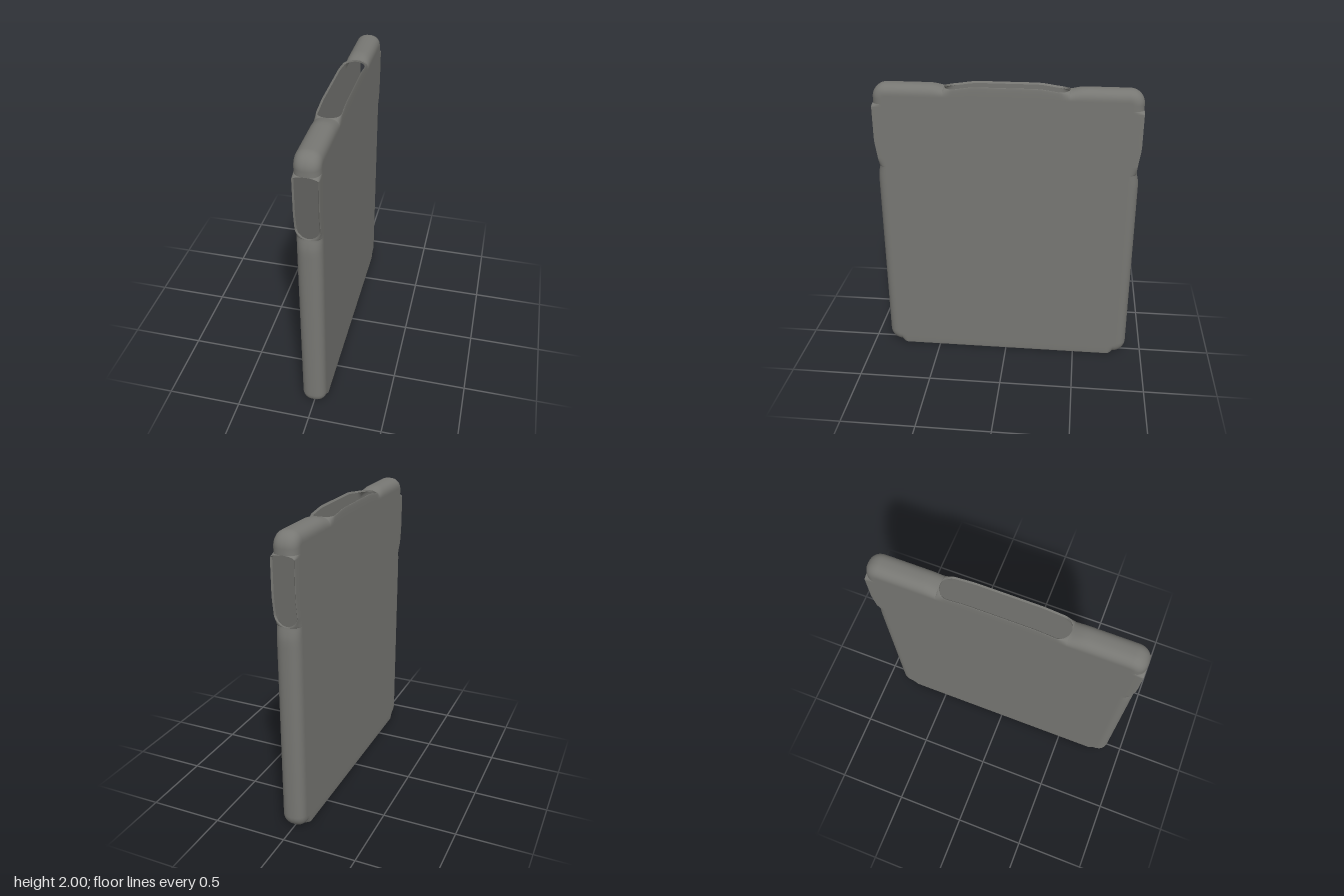
import * as THREE from 'three';
import { mergeVertices } from 'three/addons/utils/BufferGeometryUtils.js';

const W = 0.081;        // half thickness of the sleeve
const WALL = 0.012;     // wall thickness
const DEPTH = 0.075;    // how far the rounded rim reaches into the flat panel
const HALF = 0.886, TOP = 2, R = 0.095; // outline
const GAP = 0.069;      // half width of the openings
const ROWS = 12;

// Openings: start, end and length of the rounded part at either end
const bottomGap = { a: -(HALF - R), b: HALF - R, la: 0.04, lb: 0.04 };
const sideGap = { a: 1.43, b: 1.87, la: 0.07, lb: 0.02 };
const topGap = { a: -0.41, b: 0.41, la: 0.07, lb: 0.07 };

function gapWidth(q, g) {
  if (q <= g.a || q >= g.b) return 0;
  const k = Math.min(1, (q - g.a) / g.la, (g.b - q) / g.lb);
  return GAP * Math.sqrt(1 - (1 - k) ** 2);
}

// Smooth dip from lo to hi, deepest at mid
function dip(q, lo, mid, hi, depth) {
  if (q <= lo || q >= hi) return 0;
  const k = q < mid ? (q - lo) / (mid - lo) : (hi - q) / (hi - mid);
  return depth * k * k * (3 - 2 * k);
}

// Sample positions on a straight side, denser at the rounded opening ends
function stations(from, to, g) {
  const list = [];
  for (let i = 0; i <= 48; i++) list.push(from + (to - from) * i / 48);
  for (let i = 0; i <= 10; i++) {
    const e = 1 - Math.cos(i / 10 * Math.PI / 2);
    list.push(g.a + g.la * e, g.b - g.lb * e);
  }
  list.sort((p, q) => p - q);
  return list.filter((q, i) => i === 0 || q - list[i - 1] > 1e-6);
}

// Outline of the sleeve with normal, gap half width and edge dip at each station
function outline() {
  const loop = [];
  const zs = HALF - R, y0 = R, y1 = TOP - R;
  const corner = (cz, cy, start) => {
    for (let i = 1; i < 12; i++) {
      const t = start + i / 12 * Math.PI / 2, nz = Math.cos(t), ny = Math.sin(t);
      loop.push({ z: cz + R * nz, y: cy + R * ny, nz, ny, gap: 0, h: 0 });
    }
  };
  const side = (y, s) => loop.push({
    z: s * HALF, y, nz: s, ny: 0, gap: gapWidth(y, sideGap), h: dip(y, 1.35, 1.46, 1.64, 0.019)
  });
  const sideYs = stations(y0, y1, sideGap);

  for (const z of stations(-zs, zs, bottomGap))
    loop.push({ z, y: 0, nz: 0, ny: -1, gap: gapWidth(z, bottomGap), h: 0 });
  corner(zs, y0, -Math.PI / 2);
  sideYs.forEach(y => side(y, 1));
  corner(zs, y1, 0);
  for (const z of stations(-zs, zs, topGap).reverse())
    loop.push({ z, y: TOP, nz: 0, ny: 1, gap: gapWidth(z, topGap), h: dip(Math.abs(z), 0.19, 0.38, 0.5, 0.02) });
  corner(-zs, y1, Math.PI / 2);
  [...sideYs].reverse().forEach(y => side(y, -1));
  corner(-zs, y0, Math.PI);
  return loop;
}

// Cross-section from the panel centre out to the rim, at offset t inside the outer skin
function section(p, t, s) {
  const w = W - t;
  const lip = t > 0 ? p.gap : p.gap + 0.008 * (p.gap / GAP) ** 4;
  const pts = [new THREE.Vector3(s * w, TOP / 2, 0)];
  for (let j = 0; j <= ROWS; j++) {
    const a = j / ROWS * Math.PI / 2;
    const c = j === ROWS ? 0 : Math.cos(a) ** 0.85;
    const d = p.h + t + (DEPTH - p.h) * (1 - Math.sin(a) ** 0.85);
    pts.push(new THREE.Vector3(s * (lip + (w - lip) * c), p.y - p.ny * d, p.z - p.nz * d));
  }
  return pts;
}

function surface(columnsBySide, flip, skip = () => false) {
  const pos = [];
  const tri = (a, b, c) => [a, b, c].forEach(v => pos.push(v.x, v.y, v.z));
  for (const { s, cols } of columnsBySide) {
    const rev = (s < 0) !== flip;
    cols.forEach((A, i) => {
      const k = (i + 1) % cols.length, B = cols[k];
      if (skip(i, k)) return;
      for (let j = 0; j < A.length - 1; j++) {
        const a = A[j], b = B[j], c = B[j + 1], d = A[j + 1];
        if (a.distanceTo(b) > 1e-6) rev ? tri(a, c, b) : tri(a, b, c);
        rev ? tri(a, d, c) : tri(a, c, d);
      }
    });
  }
  let geo = new THREE.BufferGeometry();
  geo.setAttribute('position', new THREE.Float32BufferAttribute(pos, 3));
  geo = mergeVertices(geo, 1e-5);
  geo.computeVertexNormals();
  return geo;
}

export function createModel() {
  const group = new THREE.Group();
  group.name = 'sleeve';
  const grey = new THREE.MeshStandardMaterial({ color: 0x777773 });
  grey.name = 'warm grey';
  grey.side = THREE.DoubleSide;

  const loop = outline();
  const skin = t => [1, -1].map(s => ({ s, cols: loop.map(p => section(p, t, s)) }));
  const outer = skin(0), inner = skin(WALL);
  // Narrow edge joining both skins around the openings
  const edge = outer.map(({ s, cols }, n) => ({
    s, cols: cols.map((c, i) => [c[c.length - 1], inner[n].cols[i][c.length - 1]])
  }));

  const add = (name, geo) => {
    const mesh = new THREE.Mesh(geo, grey);
    mesh.name = name;
    group.add(mesh);
  };
  add('outerShell', surface(outer, false));
  add('innerShell', surface(inner, true));
  add('openingEdges', surface(edge, false, (i, k) => loop[i].gap === 0 && loop[k].gap === 0));
  return group;
}
